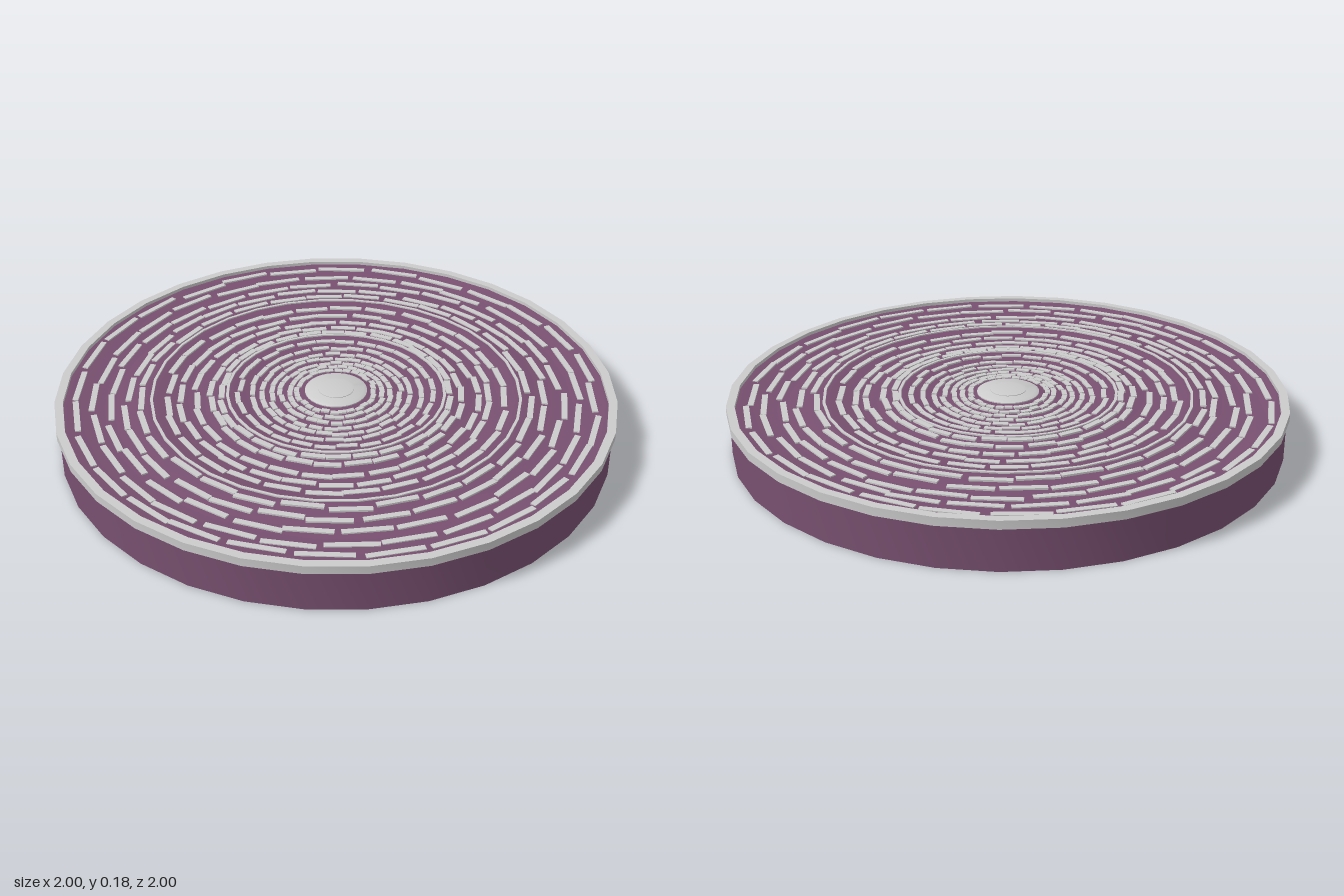
import * as THREE from 'three';
import { toCreasedNormals } from 'three/addons/utils/BufferGeometryUtils.js';

const SIDES = 32;
const grey = new THREE.MeshStandardMaterial({ color: 0xcccccc });
const plum = new THREE.MeshStandardMaterial({ color: 0x785070 });

// Ring grooves that divide the disc into shallow concave bands.
const bands = [[0.66, 0.975], [0.39, 0.66], [0.1, 0.39]];

// Height of the gently dished top at radius r.
function topHeight(r) {
  const band = bands.find(([a, b]) => r >= a && r <= b);
  if (!band) return 0.168;
  const t = (r - band[0]) / (band[1] - band[0]);
  return 0.168 - 0.014 * Math.sin(Math.PI * t);
}

function lathe(name, points, material) {
  const geometry = new THREE.LatheGeometry(points.map(([r, y]) => new THREE.Vector2(r, y)), SIDES);
  const mesh = new THREE.Mesh(toCreasedNormals(geometry, 0.6), material);
  mesh.name = name;
  return mesh;
}

// Small repeatable jitter in the range -0.5 to 0.5.
function makeJitter(seed) {
  let s = seed;
  return () => {
    s = (s * 16807) % 2147483647;
    return s / 2147483647 - 0.5;
  };
}

export function createModel() {
  const model = new THREE.Group();
  model.name = 'patternedDisc';

  // Solid body: flat base, upright wall, dished top.
  const profile = [[0, 0], [0.99, 0], [0.99, 0.168]];
  for (let i = 0; i <= 36; i++) {
    const r = 0.975 - (i / 36) * 0.875;
    profile.push([r, topHeight(r)]);
  }
  profile.push([0, 0.168]);
  model.add(lathe('body', profile, plum));

  // Outer rim band.
  model.add(lathe('rim', [[0.97, 0.15], [1, 0.15], [1, 0.18], [0.97, 0.18], [0.97, 0.15]], grey));

  // Thin raised divider rings.
  for (const r of [0.66, 0.39]) {
    model.add(lathe('dividerRing',
      [[r - 0.005, 0.16], [r + 0.005, 0.16], [r + 0.005, 0.172], [r - 0.005, 0.172], [r - 0.005, 0.16]], grey));
  }

  // Central hub with a small raised cap.
  model.add(lathe('hub', [[0.112, 0.155], [0.112, 0.17], [0.1, 0.176], [0, 0.176]], grey));
  model.add(lathe('hubCap', [[0.065, 0.17], [0.065, 0.178], [0.055, 0.18], [0, 0.18]], grey));

  // Rows of tangential dashes, staggered like bricks.
  const jitter = makeJitter(77);
  const rows = [0.925, 0.865, 0.805, 0.745, 0.692, 0.605, 0.555, 0.503, 0.45, 0.412,
    0.35, 0.305, 0.265, 0.232, 0.198, 0.168, 0.138];
  const count = 28;
  const dashes = new THREE.Group();
  dashes.name = 'dashes';
  rows.forEach((row, k) => {
    const width = row > 0.4 ? 0.021 : 0.018;
    const box = new THREE.BoxGeometry(row * 0.205, 0.012, width);
    for (let i = 0; i < count; i++) {
      const angle = ((i + k * 0.37 + jitter() * 0.15) / count) * Math.PI * 2;
      const r = row + jitter() * 0.022 * Math.min(1, row + 0.3);
      const dash = new THREE.Mesh(box, grey);
      dash.name = 'dash';
      dash.position.set(r * Math.sin(angle), topHeight(r) - 0.001, r * Math.cos(angle));
      dash.rotation.y = angle + jitter() * 0.06;
      dashes.add(dash);
    }
  });
  model.add(dashes);
  return model;
}
